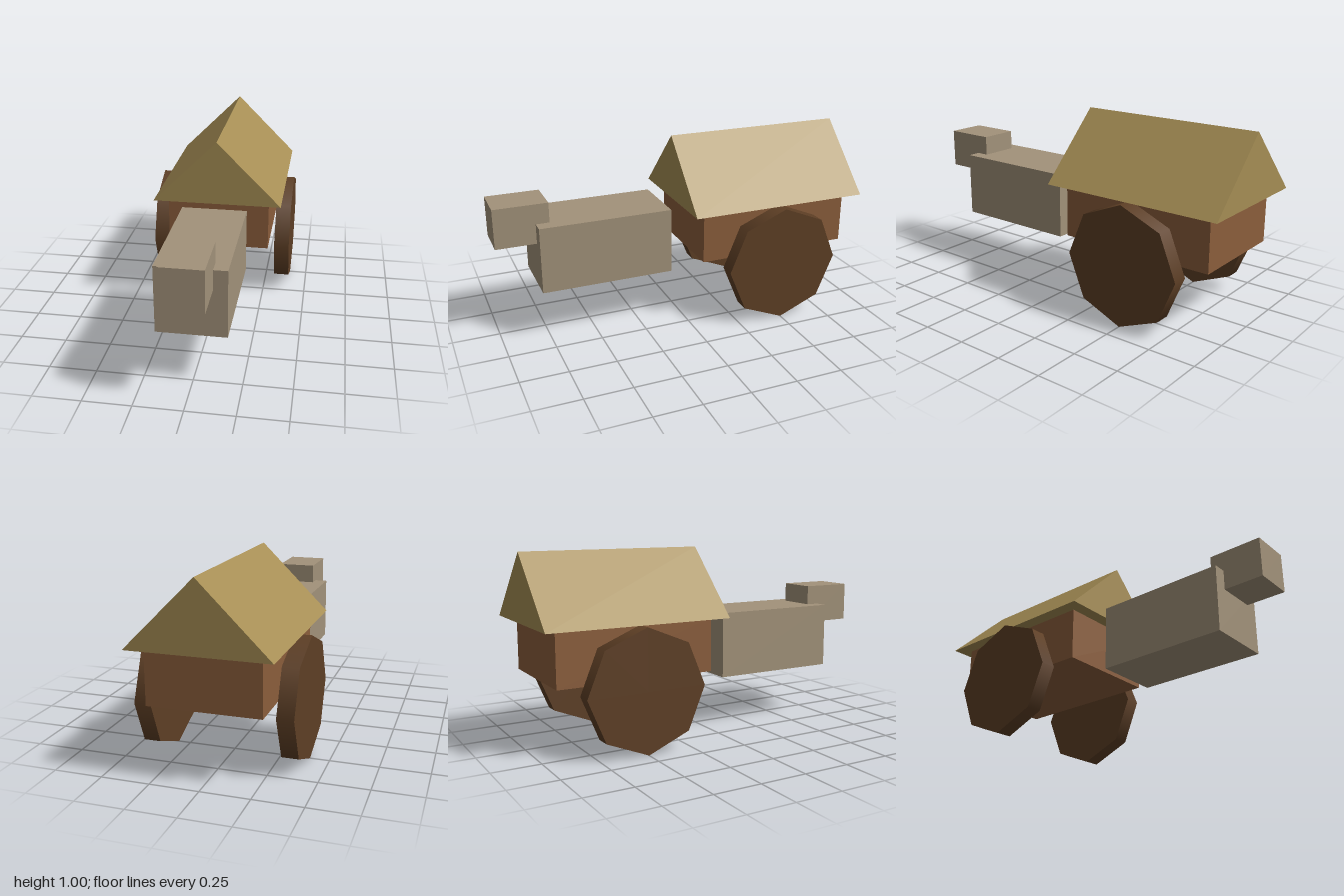
import * as THREE from 'three';

export function createModel() {
  const model = new THREE.Group();
  model.name = 'oxCart';

  const material = (name, color) => {
    const m = new THREE.MeshStandardMaterial({ color });
    m.name = name;
    return m;
  };
  const hide = material('greyHide', 0xa2927a);
  const wood = material('brownWood', 0x8b5e3c);
  const darkWood = material('darkWood', 0x5e3f25);
  const thatch = material('thatch', 0xa68e55);

  const add = (name, geometry, mat, x, y, z) => {
    const mesh = new THREE.Mesh(geometry, mat);
    mesh.name = name;
    mesh.position.set(x, y, z);
    model.add(mesh);
  };

  // Draft animal
  add('animalBody', new THREE.BoxGeometry(0.357, 0.357, 0.714), hide, 0, 0.466, 0.429);
  add('animalHead', new THREE.BoxGeometry(0.214, 0.214, 0.286), hide, 0, 0.645, 0.857);

  // Cart box
  add('cartBody', new THREE.BoxGeometry(0.571, 0.286, 0.857), wood, 0, 0.502, -0.5);

  // Gabled roof, a closed triangular prism
  const gable = new THREE.Shape([
    new THREE.Vector2(-0.357, 0),
    new THREE.Vector2(0.357, 0),
    new THREE.Vector2(0, 0.355),
  ]);
  const roof = new THREE.ExtrudeGeometry(gable, { depth: 1, bevelEnabled: false });
  add('roof', roof, thatch, 0, 0.645, -1);

  // Eight-sided wheels with smooth rims and a corner at the top
  const wheel = new THREE.CylinderGeometry(0.3215, 0.3215, 0.086, 8).rotateZ(Math.PI / 2);
  add('leftWheel', wheel, darkWood, 0.357, 0.3215, -0.5);
  add('rightWheel', wheel, darkWood, -0.357, 0.3215, -0.5);

  return model;
}
